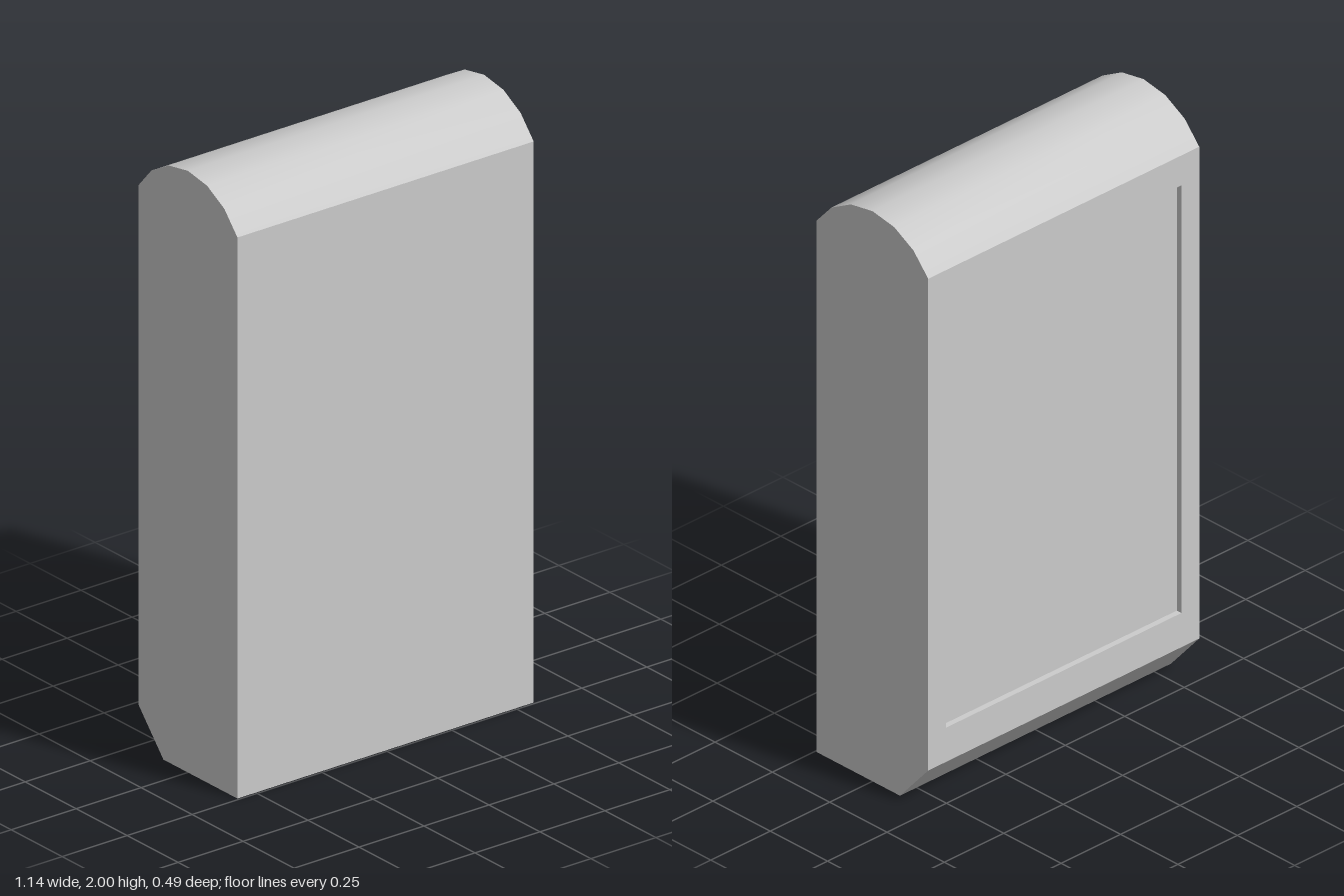
import * as THREE from 'three';
import { toCreasedNormals } from 'three/addons/utils/BufferGeometryUtils.js';

const HALF_W = 0.57, HALF_D = 0.243, HEIGHT = 2;
const SHOULDER = 1.865;   // where the domed top begins
const CHAMFER_Y = 0.14, CHAMFER_Z = 0.12;
const RECESS = 0.02;      // depth of the sunken back panel

function rectangle(Type, x0, y0, x1, y1) {
  return new Type([
    new THREE.Vector2(x0, y0), new THREE.Vector2(x1, y0),
    new THREE.Vector2(x1, y1), new THREE.Vector2(x0, y1),
  ]);
}

export function createModel() {
  const group = new THREE.Group();
  const material = new THREE.MeshStandardMaterial({ color: 0xcccccc });
  const add = (name, geometry) => {
    const mesh = new THREE.Mesh(geometry, material);
    mesh.name = name;
    group.add(mesh);
  };

  // Side profile, drawn with the back towards positive x
  const back = HALF_D, floor = HALF_D - RECESS;
  const points = [
    [-HALF_D, 0], [CHAMFER_Z, 0], [back, CHAMFER_Y],
    [floor, CHAMFER_Y], [floor, SHOULDER],
  ];

  // Domed top: arc through both shoulders and the crown
  const rise = HEIGHT - SHOULDER;
  const radius = (HALF_D ** 2 + rise ** 2) / (2 * rise);
  const half = Math.asin(HALF_D / radius), segments = 6;
  for (let i = 0; i <= segments; i++) {
    const a = half * (1 - 2 * i / segments);
    points.push([radius * Math.sin(a), HEIGHT - radius + radius * Math.cos(a)]);
  }

  // Body, extruded across the width
  const profile = new THREE.Shape(points.map(([x, y]) => new THREE.Vector2(x, y)));
  const body = new THREE.ExtrudeGeometry(profile, { depth: 2 * HALF_W, bevelEnabled: false });
  body.translate(0, 0, -HALF_W).rotateY(Math.PI / 2);
  add('body', toCreasedNormals(body, 0.5));

  // Raised frame around the sunken back panel
  const outline = rectangle(THREE.Shape, -HALF_W, CHAMFER_Y, HALF_W, SHOULDER);
  outline.holes.push(rectangle(THREE.Path, -0.495, 0.26, 0.495, 1.76));
  const frame = new THREE.ExtrudeGeometry(outline, { depth: RECESS, bevelEnabled: false });
  frame.translate(0, 0, -HALF_D);
  add('backFrame', frame);

  return group;
}
